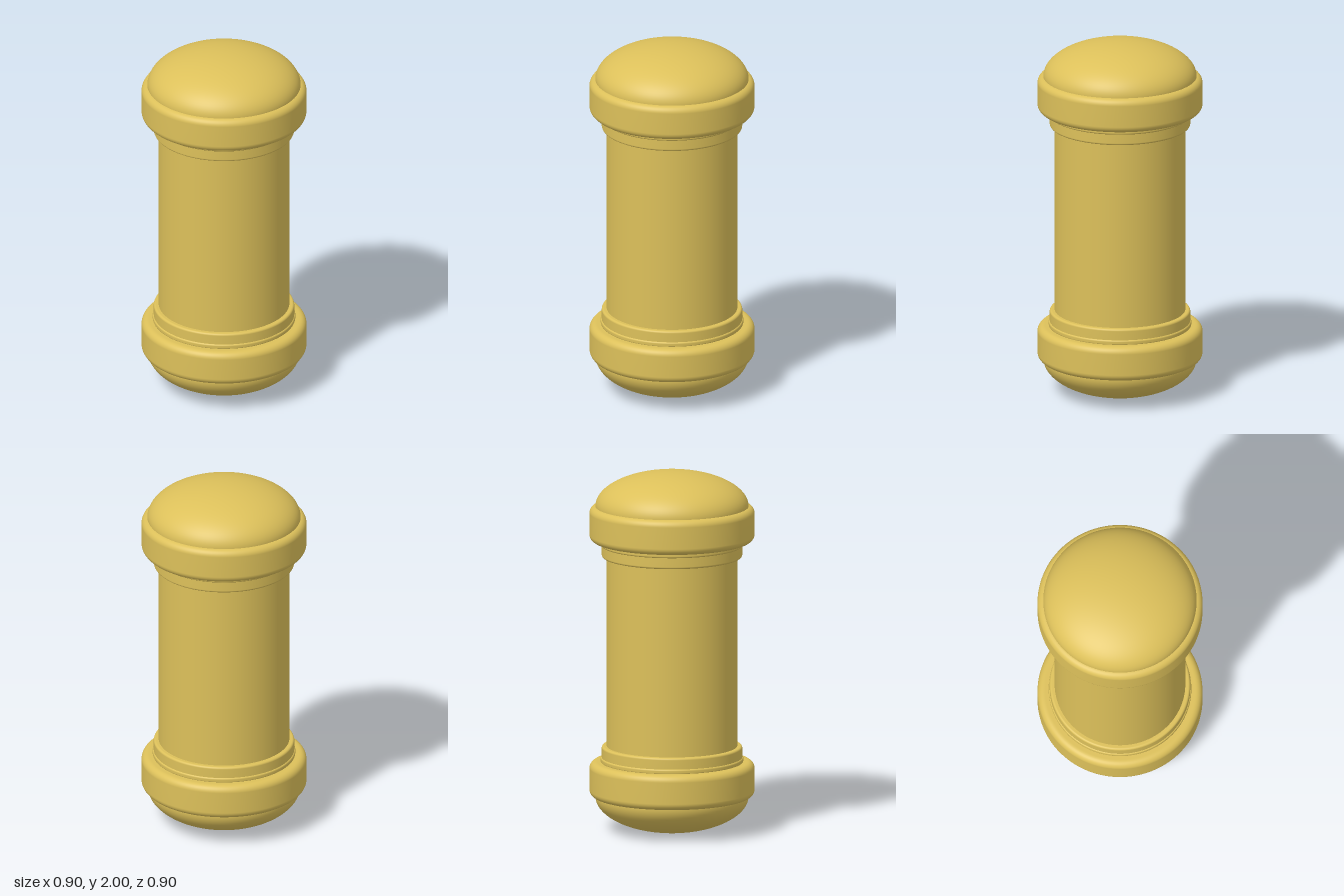
import * as THREE from 'three';

const SEGMENTS = 96;

// Disc-shaped band with rounded rims, running from y0 to y1
function bandGeometry(radius, y0, y1, round) {
  const points = [new THREE.Vector2(0, y0), new THREE.Vector2(radius - round - 0.005, y0)];
  const steps = 8;
  for (const [cy, start] of [[y0 + round, -Math.PI / 2], [y1 - round, 0]]) {
    for (let i = 0; i <= steps; i++) {
      const a = start + (i / steps) * Math.PI / 2;
      points.push(new THREE.Vector2(radius - round + round * Math.cos(a), cy + round * Math.sin(a)));
    }
  }
  points.push(new THREE.Vector2(radius - round - 0.005, y1), new THREE.Vector2(0, y1));
  return new THREE.LatheGeometry(points, SEGMENTS);
}

export function createModel() {
  const model = new THREE.Group();
  model.name = 'column';
  const gold = new THREE.MeshStandardMaterial({ color: 0xdcc05a });
  gold.name = 'gold';

  const add = (parent, name, geometry) => {
    const mesh = new THREE.Mesh(geometry, gold);
    mesh.name = name;
    parent.add(mesh);
    return mesh;
  };

  // Straight shaft
  add(model, 'shaft', new THREE.CylinderGeometry(0.358, 0.358, 1.2, SEGMENTS, 1, true)).position.y = 1;

  // Identical ends; heights are measured from the middle of the shaft
  for (const [name, turn] of [['topEnd', 0], ['bottomEnd', Math.PI]]) {
    const end = new THREE.Group();
    end.name = name;
    end.position.y = 1;
    end.rotation.x = turn;
    add(end, 'collar', bandGeometry(0.385, 0.526, 0.6, 0.012));
    add(end, 'thinRing', bandGeometry(0.391, 0.588, 0.618, 0.01));
    add(end, 'capRing', bandGeometry(0.452, 0.613, 0.808, 0.038));

    // Flattened dome
    const dome = new THREE.SphereGeometry(0.42, SEGMENTS, 24, 0, Math.PI * 2, 0, Math.PI / 2);
    dome.scale(1, 0.194 / 0.42, 1);
    add(end, 'dome', dome).position.y = 0.806;
    model.add(end);
  }
  return model;
}
